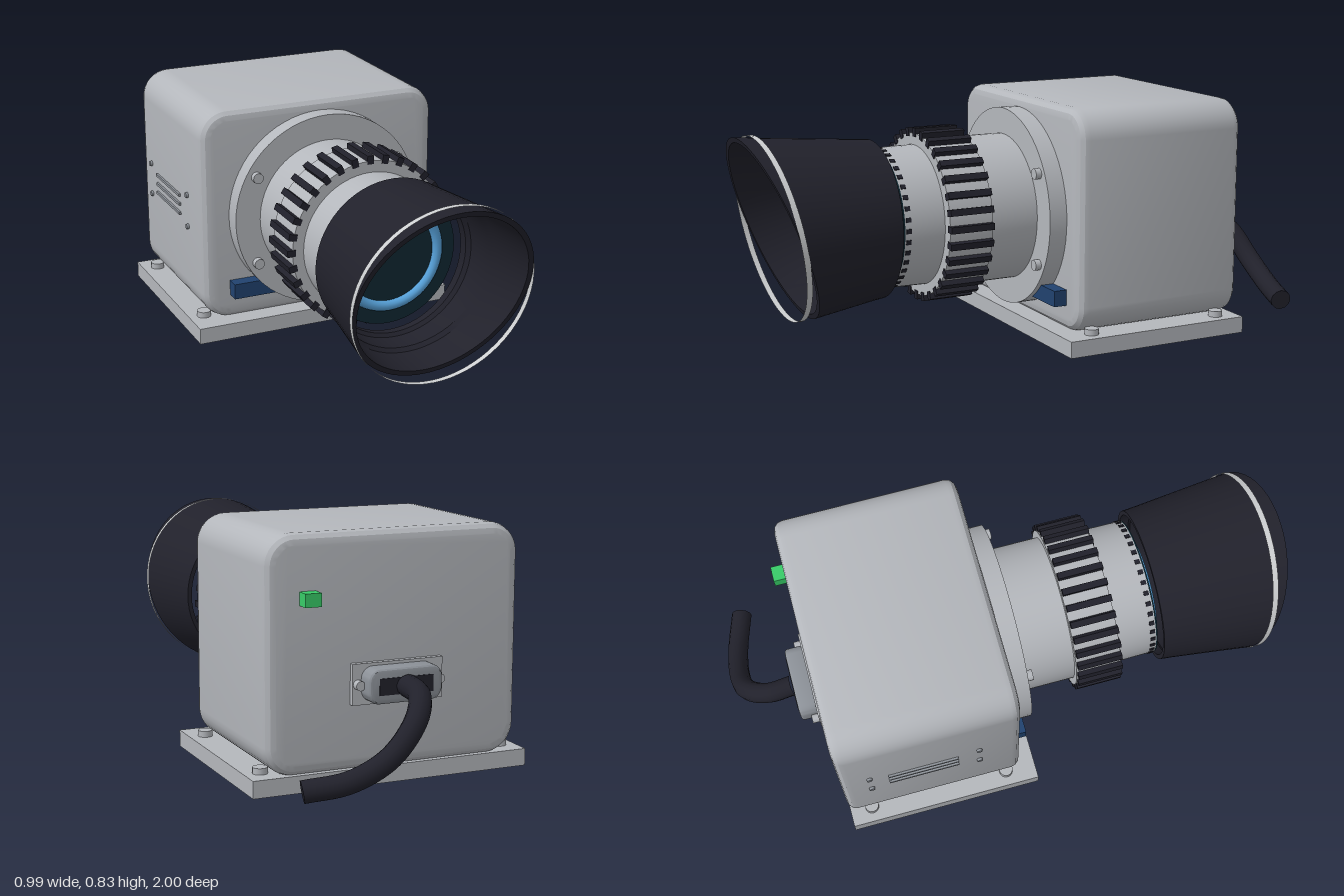
import * as THREE from 'three';
import { toCreasedNormals } from 'three/addons/utils/BufferGeometryUtils.js';

const mat = (name, color, side = THREE.FrontSide) =>
  Object.assign(new THREE.MeshStandardMaterial({ color, side }), { name });

const AXIS = 0.44; // height of the lens axis

export function createModel() {
  const silver = mat('silver', 0xb4b7bc);
  const steel = mat('steel', 0x8d9299);
  const black = mat('black', 0x21212b);
  const navy = mat('navy', 0x21426f);
  const blue = mat('lens blue', 0x56a0d8);
  const glass = mat('dark glass', 0x0f2731);
  const green = mat('green', 0x38cc68);
  const trim = mat('trim', 0xcdcfd1, THREE.DoubleSide);

  const model = new THREE.Group();
  model.name = 'boxCamera';

  const add = (name, geometry, material, x = 0, y = 0, z = 0, parent = model) => {
    const mesh = new THREE.Mesh(geometry, material);
    mesh.name = name;
    mesh.position.set(x, y, z);
    parent.add(mesh);
    return mesh;
  };
  const box = (name, w, h, d, material, x, y, z, parent) =>
    add(name, new THREE.BoxGeometry(w, h, d), material, x, y, z, parent);
  // Cylinder lying along z
  const disc = (name, r, d, material, x, y, z, parent, sides = 16) =>
    add(name, new THREE.CylinderGeometry(r, r, d, sides).rotateX(Math.PI / 2), material, x, y, z, parent);
  // Turned part whose profile is [radius, z]
  const turned = (profile) => new THREE.LatheGeometry(
    profile.map(([r, z]) => new THREE.Vector2(r, z)), 64).rotateX(Math.PI / 2);
  // Rounded rectangle extruded along z with a bevelled rim, centred
  const roundedBlock = (w, h, d, r, bevel) => {
    const a = w / 2 - bevel, b = h / 2 - bevel, c = r - bevel;
    const s = new THREE.Shape();
    s.absarc(a - c, b - c, c, 0, Math.PI / 2);
    s.absarc(-a + c, b - c, c, Math.PI / 2, Math.PI);
    s.absarc(-a + c, -b + c, c, Math.PI, Math.PI * 1.5);
    s.absarc(a - c, -b + c, c, Math.PI * 1.5, Math.PI * 2);
    const g = new THREE.ExtrudeGeometry(s, {
      depth: d - 2 * bevel, bevelSize: bevel, bevelThickness: bevel, bevelSegments: 3, curveSegments: 4,
    });
    return toCreasedNormals(g.translate(0, 0, bevel - d / 2), 0.5);
  };

  // Base plate and its screws
  box('basePlate', 0.985, 0.058, 0.7, silver, 0, 0.029, -0.34);
  for (const x of [-0.437, 0.437])
    for (const z of [-0.1, -0.61])
      add('baseScrew', new THREE.CylinderGeometry(0.025, 0.025, 0.022, 16), silver, x, 0.068, z);

  // Housing
  add('housing', roundedBlock(0.9, 0.775, 0.645, 0.1, 0.035), silver, 0, 0.4425, -0.37);
  box('frontLabel', 0.707, 0.056, 0.05, navy, 0, 0.173, -0.025);

  // Side vent slots with four small screws
  const vents = new THREE.Group();
  vents.name = 'sideVents';
  model.add(vents);
  for (const y of [0.395, 0.43, 0.465]) box('ventSlot', 0.012, 0.01, 0.25, steel, -0.452, y, -0.4, vents);
  for (const y of [0.37, 0.49])
    for (const z of [-0.59, -0.2])
      add('ventScrew', new THREE.CylinderGeometry(0.01, 0.01, 0.014, 10).rotateZ(Math.PI / 2),
        steel, -0.452, y, z, vents);

  // Lens, built around its own axis
  const lens = new THREE.Group();
  lens.name = 'lens';
  lens.position.y = AXIS;
  model.add(lens);
  disc('mountFlange', 0.352, 0.075, silver, 0, 0, -0.02, lens, 64);
  for (const x of [-0.272, 0.272])
    for (const y of [-0.16, 0.16]) disc('flangeBolt', 0.019, 0.025, silver, x, y, 0.026, lens);
  add('barrel', toCreasedNormals(turned([
    [0.26, 0], [0.26, 0.2], [0.285, 0.2], [0.285, 0.36], [0.245, 0.36], [0.243, 0.505], [0, 0.505],
  ]), 0.6), silver, 0, 0, 0, lens);

  // Grip ribs and fine front ticks around the barrel
  const around = (count, name, w, h, d, r, z) => {
    for (let i = 0; i < count; i++) {
      const a = (i / count) * Math.PI * 2;
      box(name, w, h, d, black, Math.sin(a) * r, Math.cos(a) * r, z, lens).rotation.z = -a;
    }
  };
  around(32, 'gripRib', 0.023, 0.03, 0.16, 0.289, 0.283);
  around(40, 'frontTick', 0.016, 0.008, 0.018, 0.242, 0.492);

  // Front glass and coloured ring
  disc('frontGlass', 0.243, 0.006, glass, 0, 0, 0.507, lens, 64);
  add('lensRing', new THREE.TorusGeometry(0.178, 0.018, 12, 64), blue, 0, 0, 0.51, lens);

  // Eye hood: flared tube whose front edge is cut at a slant
  const hood = turned([
    [0.298, 1], [0.288, 0.5], [0.276, 0.44], [0.272, 0.14], [0.26, 0.1], [0.26, 0],
    [0.276, 0], [0.28, 0.12], [0.316, 1], [0.298, 1],
  ]);
  const p = hood.attributes.position;
  for (let i = 0; i < p.count; i++) {
    const front = 0.885 + 0.355 * p.getY(i);
    p.setZ(i, 0.525 + p.getZ(i) * (front - 0.525));
  }
  add('hood', toCreasedNormals(hood, 0.6), black, 0, 0, 0, lens);

  // Slanted thin band around the hood mouth
  const band = new THREE.CylinderGeometry(0.319, 0.319, 0.02, 64, 1, true).rotateX(Math.PI / 2);
  const q = band.attributes.position;
  for (let i = 0; i < q.count; i++) q.setZ(i, q.getZ(i) + 0.885 + 0.175 * q.getY(i));
  add('hoodBand', band, trim, 0, 0, 0, lens);

  // Rear indicator lamp
  box('indicatorLamp', 0.055, 0.044, 0.055, green, 0.307, 0.627, -0.711);

  // Rear connector and cable
  const connector = new THREE.Group();
  connector.name = 'connector';
  connector.position.y = 0.34;
  model.add(connector);
  box('connectorPlate', 0.32, 0.135, 0.025, silver, 0, 0, -0.698, connector);
  add('connectorShell', roundedBlock(0.26, 0.115, 0.075, 0.04, 0.012), steel, 0, 0, -0.735, connector);
  box('connectorSocket', 0.19, 0.055, 0.006, black, 0, 0, -0.772, connector);
  for (const x of [-0.142, 0.142]) disc('connectorBolt', 0.016, 0.03, silver, x, 0, -0.72, connector);

  const path = new THREE.CatmullRomCurve3([
    [0, 0.34, -0.775], [0, 0.325, -0.86], [0.05, 0.265, -0.935], [0.15, 0.165, -0.962],
    [0.28, 0.1, -0.95], [0.42, 0.075, -0.91],
  ].map((v) => new THREE.Vector3(...v)));
  add('cable', new THREE.TubeGeometry(path, 32, 0.037, 12), black);
  const cap = add('cableEnd', new THREE.CircleGeometry(0.037, 12), black);
  cap.position.copy(path.getPoint(1));
  cap.lookAt(path.getPoint(1).add(path.getTangent(1)));

  return model;
}
